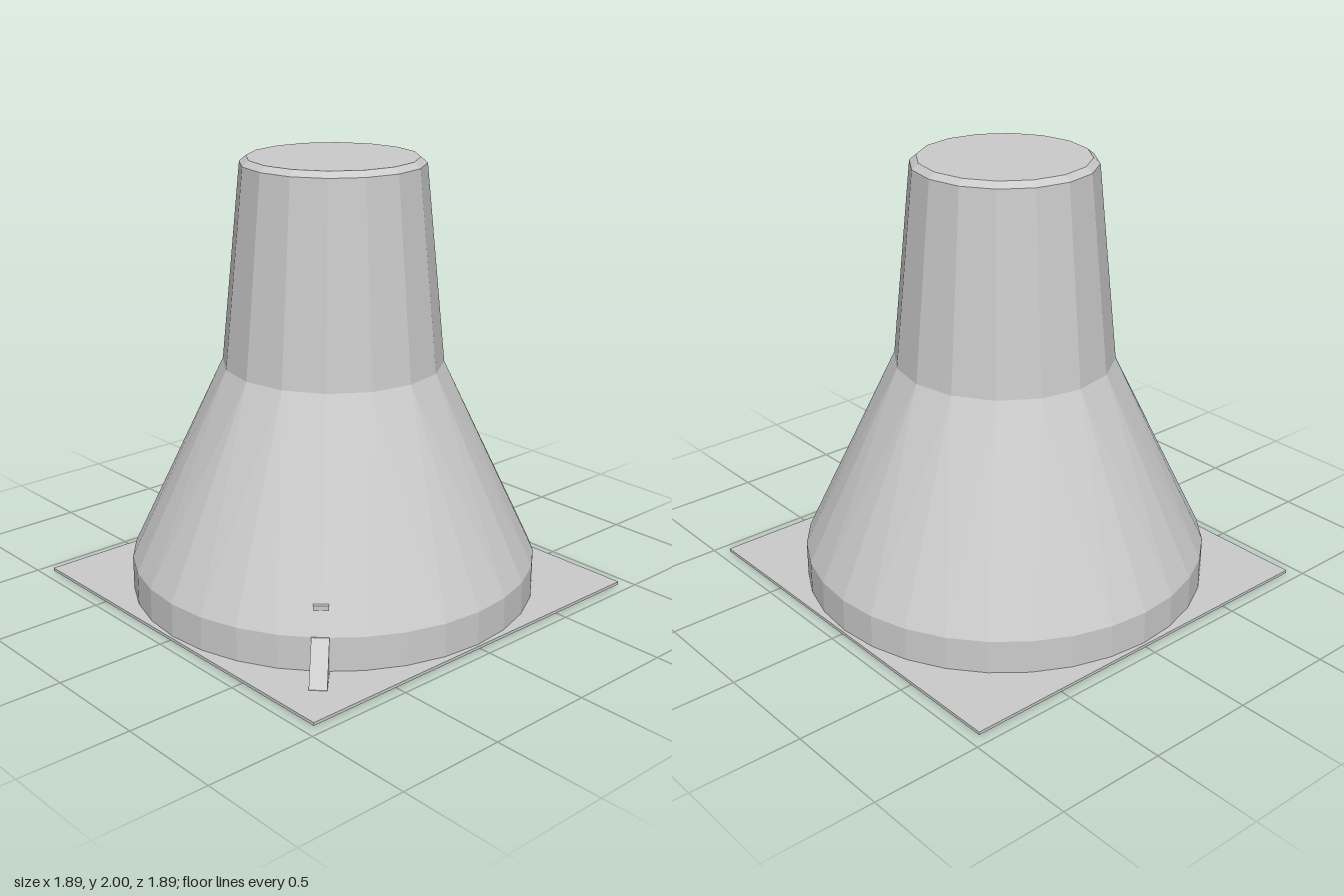
import * as THREE from 'three';

const material = new THREE.MeshStandardMaterial({ color: 0xcccccc, flatShading: true });

function part(name, geometry, parent) {
  const mesh = new THREE.Mesh(geometry, material);
  mesh.name = name;
  parent.add(mesh);
  return mesh;
}

// Capped frustum standing between two heights
function frustum(rTop, rBottom, y0, y1, sides, open = false) {
  return new THREE.CylinderGeometry(rTop, rBottom, y1 - y0, sides, 1, open).translate(0, (y0 + y1) / 2, 0);
}

// Sloped skin joining a ring of n sides above to a ring of 2n sides below
function transitionSkin(rTop, yTop, rBottom, yBottom, n) {
  const positions = [];
  const ring = (r, y, i) => {
    const a = (i * Math.PI) / n;
    return [r * Math.sin(a), y, r * Math.cos(a)];
  };
  for (let i = 0; i < 2 * n; i += 2) {
    const top = ring(rTop, yTop, i);
    const nextTop = ring(rTop, yTop, i + 2);
    const [before, at, after] = [-1, 0, 1].map((k) => ring(rBottom, yBottom, i + k));
    positions.push(...top, ...before, ...at, ...top, ...at, ...after, ...top, ...after, ...nextTop);
  }
  const geometry = new THREE.BufferGeometry();
  geometry.setAttribute('position', new THREE.Float32BufferAttribute(positions, 3));
  geometry.computeVertexNormals();
  return geometry;
}

export function createModel() {
  const model = new THREE.Group();
  model.name = 'tower';

  // Thin square ground plate
  part('basePlate', new THREE.BoxGeometry(1.89, 0.014, 1.89).translate(0, 0.007, 0), model);

  // Body: 32-sided drum, flared skirt, 16-sided neck and bevelled cap
  part('drum', frustum(0.932, 0.932, 0.002, 0.168, 32), model);
  part('flaredSkirt', transitionSkin(0.5, 1.08, 0.932, 0.168, 16), model);
  part('neck', frustum(0.41, 0.5, 1.08, 1.975, 16, true), model);
  part('cap', frustum(0.38, 0.41, 1.975, 2, 16), model);

  // Entrance details, built facing +z and turned to the front right corner
  const entrance = new THREE.Group();
  entrance.name = 'entrance';
  entrance.rotation.y = -Math.PI / 4;
  model.add(entrance);

  // Wedge ramp leaning against the drum
  const profile = new THREE.Shape([
    new THREE.Vector2(0.92, 0.003),
    new THREE.Vector2(1.09, 0.003),
    new THREE.Vector2(1.09, 0.016),
    new THREE.Vector2(0.935, 0.17),
    new THREE.Vector2(0.92, 0.17),
  ]);
  const ramp = new THREE.ExtrudeGeometry(profile, { depth: 0.076, bevelEnabled: false });
  ramp.translate(0, 0, -0.038).rotateY(-Math.PI / 2);
  part('ramp', ramp, entrance);

  // Small ledge above the ramp
  part('ledge', new THREE.BoxGeometry(0.066, 0.022, 0.04).translate(0, 0.281, 0.87), entrance);

  return model;
}
